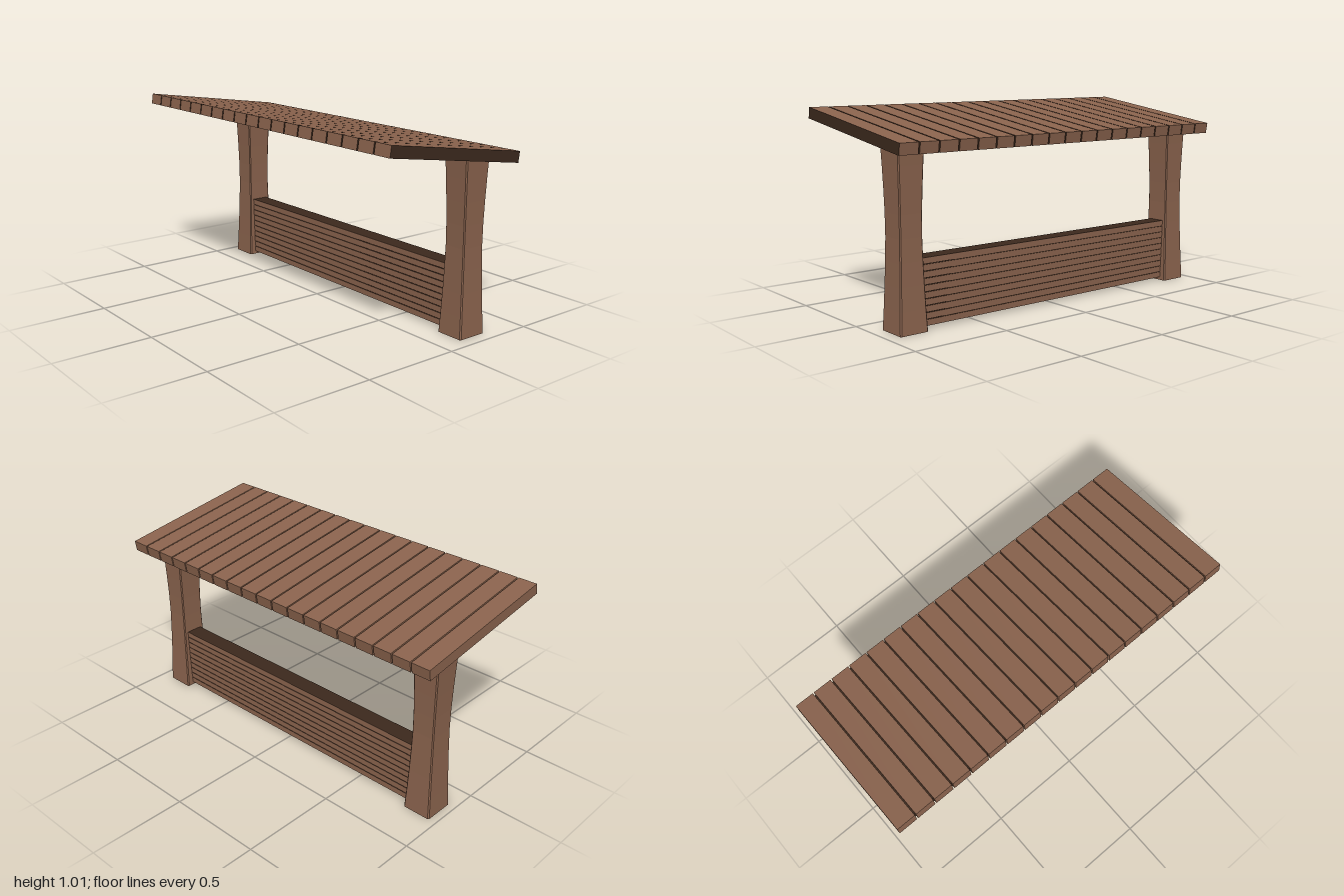
import * as THREE from 'three';

const wood = new THREE.MeshStandardMaterial({ color: 0x8a634d });
const dark = new THREE.MeshStandardMaterial({ color: 0x3c291d });

function box(name, w, h, d, material, x, y, z) {
  const mesh = new THREE.Mesh(new THREE.BoxGeometry(w, h, d), material);
  mesh.name = name;
  mesh.position.set(x, y, z);
  return mesh;
}

// Chamfered square post, slimmer at the waist than at both ends
function postGeometry(width, depth, height) {
  const a = width / 2, b = depth / 2, c = 0.006;
  const outline = new THREE.Shape([
    [a, -b + c], [a, b - c], [a - c, b], [-a + c, b],
    [-a, b - c], [-a, -b + c], [-a + c, -b], [a - c, -b],
  ].map(([x, y]) => new THREE.Vector2(x, y)));
  const geo = new THREE.ExtrudeGeometry(outline, { depth: height, steps: 8, bevelEnabled: false });
  geo.rotateX(-Math.PI / 2);
  const p = geo.attributes.position;
  for (let i = 0; i < p.count; i++) {
    const t = Math.abs(p.getY(i) / height - 0.54) / 0.54;
    const s = 0.8 + 0.2 * Math.pow(t, 1.5);
    p.setX(i, p.getX(i) * s);
    p.setZ(i, p.getZ(i) * s);
  }
  geo.computeVertexNormals();
  return geo;
}

export function createModel() {
  const model = new THREE.Group();
  model.name = 'shelter';
  const postZ = -0.205;

  // Sloping roof of planks over a dark core that shows in the gaps
  const roof = new THREE.Group();
  roof.name = 'roof';
  roof.position.set(0, 0.918, 0);
  roof.rotation.x = -0.149;
  const planks = 19, pitch = 2 / planks, gap = 0.007;
  const plankWidth = (2 - gap * (planks - 1)) / planks;
  const plankFaces = [dark, wood, wood, dark, wood, wood];
  for (let i = 0; i < planks; i++) {
    const x = -1 + plankWidth / 2 + i * (plankWidth + gap);
    roof.add(box('roofPlank', plankWidth, 0.055, 0.811, plankFaces, x, 0, 0));
  }
  roof.add(box('roofCore', 2 - pitch, 0.036, 0.79, dark, 0, 0, 0));
  model.add(roof);

  // Two flared posts
  const geo = postGeometry(0.15, 0.16, 0.88);
  for (const [name, x] of [['leftPost', 0.86], ['rightPost', -0.885]]) {
    const post = new THREE.Mesh(geo, wood);
    post.name = name;
    post.position.set(x, 0, postZ);
    model.add(post);
  }

  // Low slatted wall between the posts
  const wall = new THREE.Group();
  wall.name = 'slattedWall';
  const slats = 10, bottom = 0.015, step = 0.325 / slats;
  const slatFaces = [wood, wood, dark, dark, wood, wood];
  for (let i = 0; i < slats; i++) {
    wall.add(box('wallSlat', 1.64, step - 0.003, 0.09, slatFaces, -0.0125, bottom + (i + 0.5) * step, postZ));
  }
  wall.add(box('wallCore', 1.63, 0.315, 0.08, dark, -0.0125, bottom + 0.1625, postZ));
  model.add(wall);

  return model;
}
